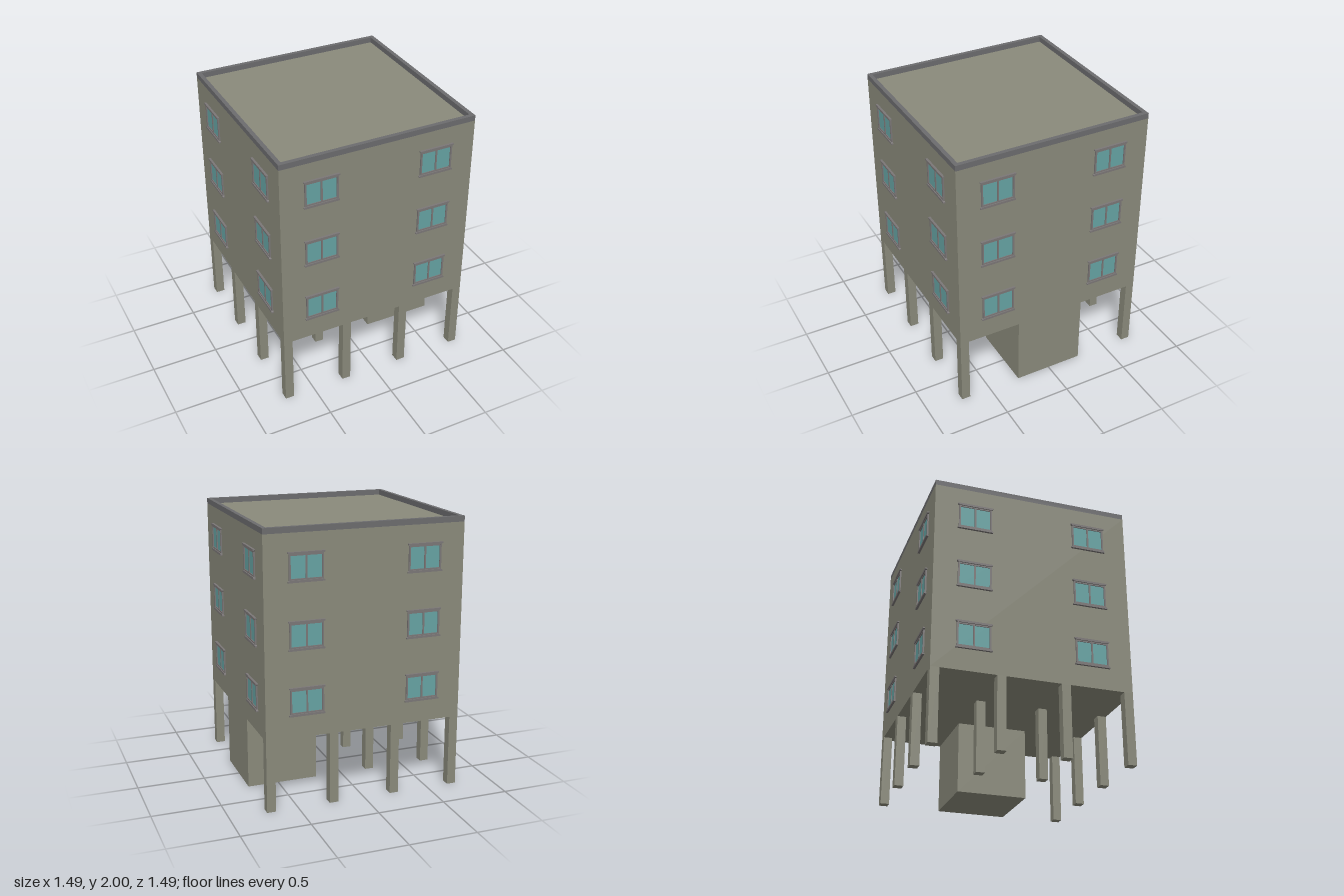
import * as THREE from 'three';

const mat = (color) => new THREE.MeshStandardMaterial({ color, flatShading: true });
const wallMat = mat(0x8a8a7b);
const trimMat = mat(0x7b7777);
const parapetMat = mat(0x6c6c6e);
const glassMat = mat(0x66a3a3);

const HALF = 0.73;     // half width of the building
const CEILING = 0.53;  // underside of the upper storeys
const ROOF = 1.96;
const COLUMN = 0.065;

// Box given by its minimum and maximum corners
function box(name, material, [x0, y0, z0], [x1, y1, z1]) {
  const mesh = new THREE.Mesh(new THREE.BoxGeometry(x1 - x0, y1 - y0, z1 - z0), material);
  mesh.position.set((x0 + x1) / 2, (y0 + y1) / 2, (z0 + z1) / 2);
  mesh.name = name;
  return mesh;
}

// Moulding with chamfered ends; dir = 1 flares upward (lintel), -1 downward (sill)
function moulding(name, dir) {
  const points = [[-0.118, 0.087], [0.118, 0.087], [0.13, 0.094], [0.13, 0.103], [-0.13, 0.103], [-0.13, 0.094]];
  const shape = new THREE.Shape(points.map(([x, y]) => new THREE.Vector2(x, y * dir)));
  const mesh = new THREE.Mesh(new THREE.ExtrudeGeometry(shape, { depth: 0.016, bevelEnabled: false }), trimMat);
  mesh.name = name;
  return mesh;
}

// Two-pane window, its back on z = 0
function createWindow() {
  const win = new THREE.Group();
  win.name = 'window';
  win.add(box('glass', glassMat, [-0.112, -0.09, -0.005], [0.112, 0.09, 0.003]));
  for (const s of [-1, 1]) {
    win.add(box('frameSide', trimMat, [s * 0.116 - 0.006, -0.088, 0], [s * 0.116 + 0.006, 0.088, 0.011]));
    win.add(box('frameRail', trimMat, [-0.11, s * 0.083 - 0.006, 0], [0.11, s * 0.083 + 0.006, 0.009]));
  }
  win.add(box('mullion', trimMat, [-0.006, -0.083, 0], [0.006, 0.083, 0.009]));
  win.add(moulding('lintel', 1), moulding('sill', -1));
  return win;
}

export function createModel() {
  const model = new THREE.Group();
  model.name = 'apartmentBuilding';

  // Upper storeys and enclosed ground-floor core
  model.add(box('upperStoreys', wallMat, [-HALF, CEILING, -HALF], [HALF, ROOF, HALF]));
  model.add(box('groundFloorCore', wallMat, [0.2, 0, -0.262], [HALF, CEILING, 0.262]));

  // Columns on a four by four grid, left out where the core stands
  const grid = [-0.6975, -0.2325, 0.2325, 0.6975];
  const c = COLUMN / 2;
  for (const x of grid) {
    for (const z of grid) {
      if (x > 0 && Math.abs(z) < 0.3) continue;
      model.add(box('column', wallMat, [x - c, 0, z - c], [x + c, CEILING, z + c]));
    }
  }

  // Parapet ring around the flat roof
  const square = (h) => [[-h, -h], [h, -h], [h, h], [-h, h]].map(([x, y]) => new THREE.Vector2(x, y));
  const ring = new THREE.Shape(square(HALF));
  ring.holes.push(new THREE.Path(square(HALF - 0.03)));
  const parapet = new THREE.Mesh(
    new THREE.ExtrudeGeometry(ring, { depth: 2 - ROOF, bevelEnabled: false }), parapetMat);
  parapet.rotation.x = -Math.PI / 2;
  parapet.position.y = ROOF;
  parapet.name = 'parapet';
  model.add(parapet);

  // Three rows of two windows on each of the four sides
  for (let side = 0; side < 4; side++) {
    const facade = new THREE.Group();
    facade.name = 'facadeWindows';
    facade.rotation.y = side * Math.PI / 2;
    for (const y of [0.793, 1.261, 1.73]) {
      for (const x of [-0.432, 0.432]) {
        const win = createWindow();
        win.position.set(x, y, HALF);
        facade.add(win);
      }
    }
    model.add(facade);
  }
  return model;
}
